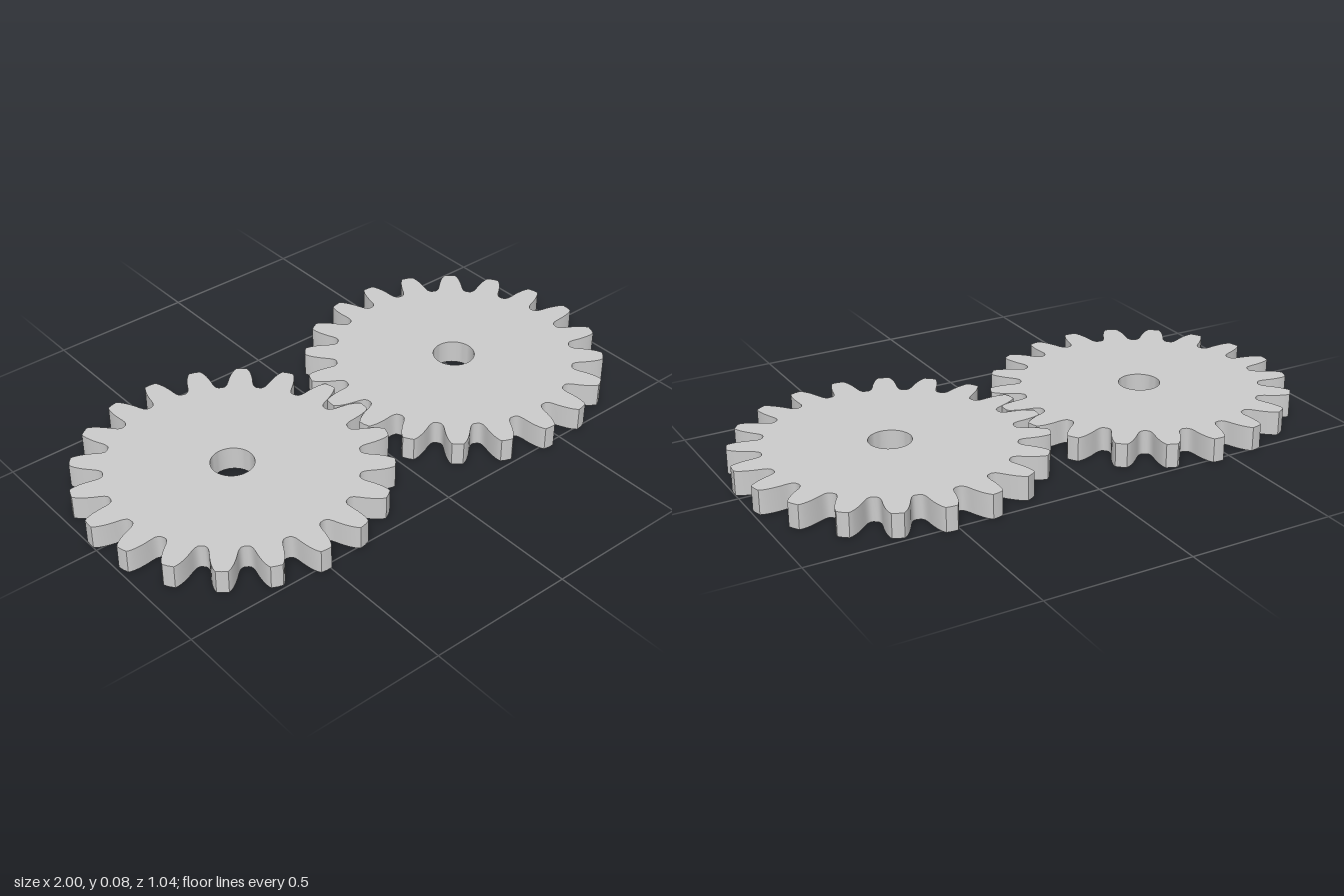
import * as THREE from 'three';
import { toCreasedNormals } from 'three/addons/utils/BufferGeometryUtils.js';

const TEETH = 20, THICKNESS = 0.083, CENTRE = 0.48, BORE = 0.072;
// One tooth flank from root to tip: [radius, half angle in degrees]
const FLANK = [
  [0.412, 8.1], [0.415, 7.1], [0.424, 6.2], [0.438, 5.6], [0.455, 5.15],
  [0.472, 4.6], [0.488, 4.0], [0.502, 3.35], [0.513, 2.7], [0.52, 2.1],
];

function gearGeometry() {
  const points = [];
  const add = (r, degrees) => {
    const a = THREE.MathUtils.degToRad(degrees);
    points.push(new THREE.Vector2(r * Math.cos(a), r * Math.sin(a)));
  };
  for (let i = 0; i < TEETH; i++) {
    const mid = (i * 360) / TEETH;
    FLANK.forEach(([r, half]) => add(r, mid - half));
    add(0.521, mid);
    [...FLANK].reverse().forEach(([r, half]) => add(r, mid + half));
  }
  const shape = new THREE.Shape(points);
  // Shaft hole
  shape.holes.push(new THREE.Path().absarc(0, 0, BORE, 0, Math.PI * 2, true));
  const geometry = new THREE.ExtrudeGeometry(shape, {
    depth: THICKNESS, bevelEnabled: false, curveSegments: 24,
  });
  geometry.rotateX(-Math.PI / 2);
  return toCreasedNormals(geometry, THREE.MathUtils.degToRad(32));
}

export function createModel() {
  const group = new THREE.Group();
  group.name = 'gearPair';
  const material = new THREE.MeshStandardMaterial({ color: 0xcccccc });
  const geometry = gearGeometry();

  // Two equal spur gears, turned so that their teeth mesh
  for (const [name, x, phase] of [['rightGear', -CENTRE, 14.1], ['leftGear', CENTRE, 12.8]]) {
    const gear = new THREE.Mesh(geometry, material);
    gear.name = name;
    gear.position.x = x;
    gear.rotation.y = THREE.MathUtils.degToRad(phase);
    group.add(gear);
  }
  return group;
}
